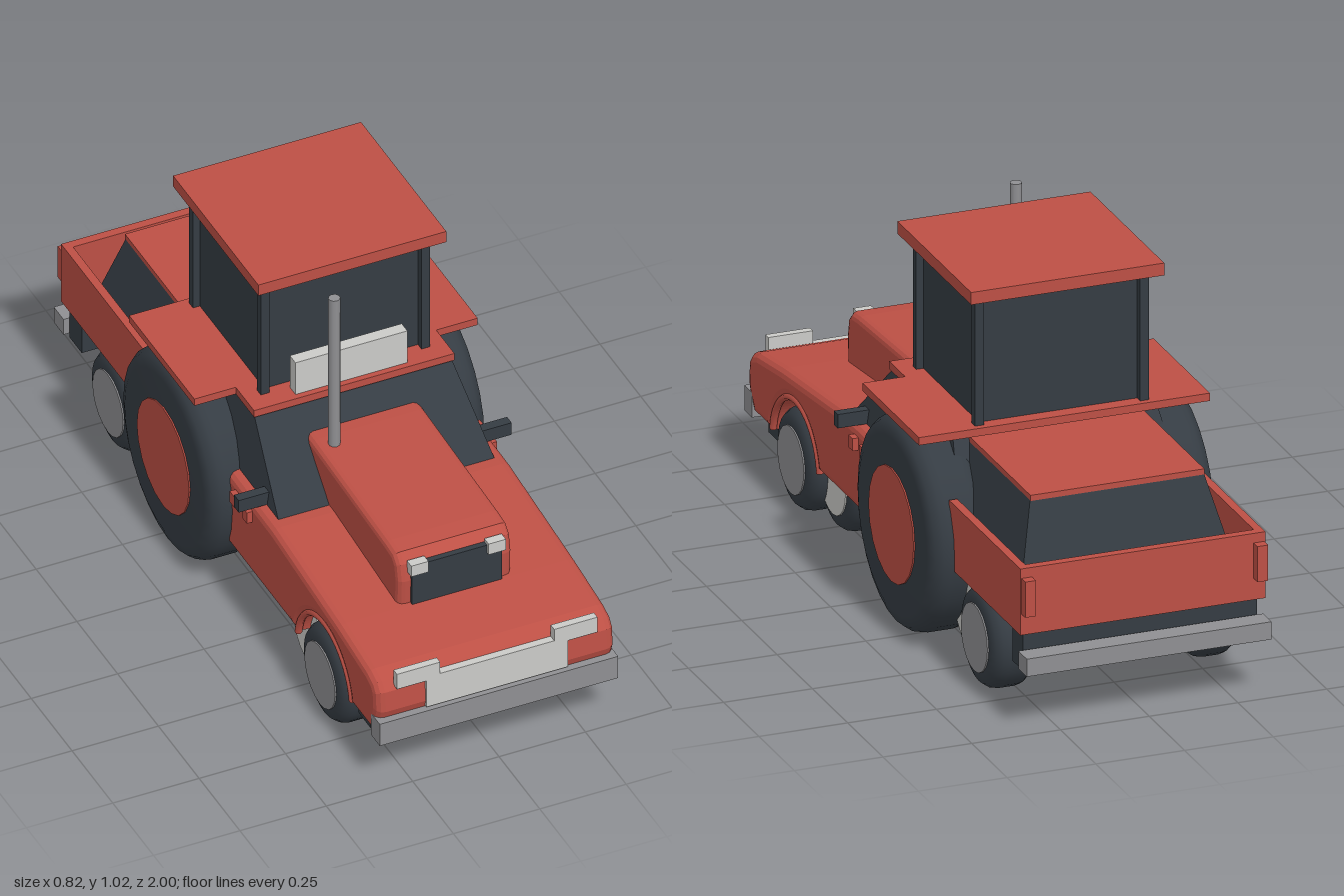
import * as THREE from 'three';

const mat = (name, color) => {
  const m = new THREE.MeshStandardMaterial({ color });
  m.name = name;
  return m;
};

export function createModel() {
  const red = mat('red paint', 0xbd5045);
  const dark = mat('dark rubber and glass', 0x353c43);
  const grey = mat('mid grey metal', 0x8f8f92);
  const light = mat('light grey trim', 0xcbcbc8);
  const model = new THREE.Group();
  model.name = 'tractor';

  const add = (name, geometry, material) => {
    const mesh = new THREE.Mesh(geometry, material);
    mesh.name = name;
    model.add(mesh);
    return mesh;
  };
  // box given by its limits on each axis
  const box = (name, material, [x0, x1], [y0, y1], [z0, z1]) =>
    add(name, new THREE.BoxGeometry(x1 - x0, y1 - y0, z1 - z0)
      .translate((x0 + x1) / 2, (y0 + y1) / 2, (z0 + z1) / 2), material);
  const pair = (name, material, [x0, x1], y, z) => {
    box(name + 'Left', material, [x0, x1], y, z);
    box(name + 'Right', material, [-x1, -x0], y, z);
  };
  // side profile drawn in (z, y), extruded across the width with rounded edges
  const sideExtrude = (shape, halfWidth, bevel) => {
    const g = new THREE.ExtrudeGeometry(shape, {
      depth: 2 * (halfWidth - bevel), bevelEnabled: bevel > 0, bevelThickness: bevel,
      bevelSize: bevel, bevelOffset: -bevel, bevelSegments: 3, curveSegments: 20,
    });
    return g.translate(0, 0, -(halfWidth - bevel)).rotateY(-Math.PI / 2);
  };
  const poly = (pts) => new THREE.Shape(pts.map(([z, y]) => new THREE.Vector2(z, y)));
  // box whose top is narrower than its bottom: [half width, back z, front z]
  const frustum = (name, material, y0, y1, bottom, top) => {
    const g = new THREE.BoxGeometry(1, 1, 1);
    const p = g.attributes.position;
    for (let i = 0; i < p.count; i++) {
      const up = p.getY(i) > 0;
      const [w, back, front] = up ? top : bottom;
      p.setXYZ(i, Math.sign(p.getX(i)) * w, up ? y1 : y0, p.getZ(i) > 0 ? front : back);
    }
    g.computeVertexNormals();
    return add(name, g, material);
  };

  // front body with open wheel arches
  const body = poly([[-0.02, 0.42], [-0.02, 0.18], [0.47, 0.18]]);
  body.absarc(0.65, 0.15, 0.165, Math.PI - 0.18, 0.12, true);
  [[0.94, 0.17], [0.975, 0.22], [0.985, 0.25], [0.98, 0.31], [0.96, 0.335], [0.92, 0.35], [0.74, 0.375],
    [0.34, 0.415]].forEach(([z, y]) => body.lineTo(z, y));
  add('frontBody', sideExtrude(body, 0.345, 0.025), red);
  box('middleBody', red, [-0.23, 0.23], [0.15, 0.42], [-0.46, 0]);
  for (const s of [-1, 1]) {
    const arch = add('archTrim', new THREE.TorusGeometry(0.168, 0.01, 6, 24, Math.PI - 0.3), red);
    arch.geometry.rotateZ(0.15).rotateY(-Math.PI / 2);
    arch.position.set(s * 0.337, 0.15, 0.65);
  }

  // hood, grille and lamps
  const hood = poly([[0.16, 0.35], [0.73, 0.35], [0.735, 0.45], [0.725, 0.5], [0.7, 0.524],
    [0.65, 0.53], [0.2, 0.552], [0.16, 0.552]]);
  add('hood', sideExtrude(hood, 0.165, 0.02), red);
  box('grille', dark, [-0.13, 0.13], [0.37, 0.5], [0.72, 0.742]);
  pair('headlamp', light, [0.087, 0.137], [0.475, 0.51], [0.725, 0.752]);

  // nose plate with raised ends
  const nose = poly([[-0.205, 0.232], [0.205, 0.232], [0.205, 0.318], [0.29, 0.318], [0.29, 0.367],
    [0.165, 0.367], [0.165, 0.33], [-0.165, 0.33], [-0.165, 0.367], [-0.29, 0.367],
    [-0.29, 0.318], [-0.205, 0.318]]);
  add('nosePlate', new THREE.ExtrudeGeometry(nose, { depth: 0.022, bevelEnabled: false })
    .translate(0, 0, 0.967), light);
  box('frontBumper', grey, [-0.345, 0.345], [0.157, 0.228], [0.945, 1]);
  box('frontLip', dark, [-0.32, 0.32], [0.133, 0.172], [0.815, 0.89]);

  // dark cowl, deck and cab
  frustum('cowl', dark, 0.4, 0.612, [0.315, -0.45, 0.325], [0.285, -0.32, 0.1]);
  const deck = new THREE.Shape([[-0.41, 0.4], [0.41, 0.4], [0.41, 0], [0.29, 0], [0.29, -0.112],
    [-0.29, -0.112], [-0.29, 0], [-0.41, 0]].map(([x, y]) => new THREE.Vector2(x, y)));
  add('deck', new THREE.ExtrudeGeometry(deck, { depth: 0.022, bevelEnabled: false })
    .rotateX(-Math.PI / 2).translate(0, 0.609, 0), red);
  box('cabGlass', dark, [-0.225, 0.225], [0.63, 0.97], [-0.36, 0.036]);
  pair('cabPostFront', dark, [0.22, 0.245], [0.63, 0.997], [0.034, 0.058]);
  pair('cabPostRear', dark, [0.22, 0.245], [0.63, 0.997], [-0.382, -0.358]);
  box('cabRoof', red, [-0.272, 0.272], [0.995, 1.03], [-0.423, 0.1]);
  box('cabFrontPanel', light, [-0.162, 0.162], [0.63, 0.735], [0.06, 0.095]);
  const pipe = add('exhaustPipe', new THREE.CylinderGeometry(0.016, 0.016, 0.5, 10), grey);
  pipe.position.set(-0.115, 0.779, 0.233);
  pair('sideLamp', dark, [0.28, 0.395], [0.418, 0.457], [0.212, 0.24]);
  for (const z of [0.13, 0.205]) pair('sideCatch', red, [0.335, 0.362], [0.357, 0.392], [z - 0.015, z + 0.015]);

  // rear bed with covered load
  box('bedFloor', red, [-0.335, 0.335], [0.275, 0.29], [-0.945, -0.45]);
  box('bedStrip', grey, [-0.32, 0.32], [0.285, 0.3], [-0.93, -0.87]);
  pair('bedSide', red, [0.322, 0.345], [0.275, 0.463], [-0.955, -0.45]);
  box('tailgate', red, [-0.322, 0.322], [0.275, 0.463], [-0.955, -0.93]);
  frustum('rearLoad', dark, 0.29, 0.572, [0.315, -0.865, -0.3], [0.245, -0.772, -0.28]);
  box('rearCover', red, [-0.245, 0.245], [0.571, 0.587], [-0.775, -0.3]);
  pair('tailLamp', red, [0.312, 0.342], [0.335, 0.436], [-0.982, -0.95]);
  box('rearFrame', dark, [-0.33, 0.33], [0.165, 0.277], [-0.935, -0.86]);
  box('rearBumper', grey, [-0.345, 0.345], [0.175, 0.225], [-1, -0.94]);
  pair('bumperBracket', dark, [0.18, 0.22], [0.185, 0.215], [-0.945, -0.93]);

  // underside
  box('rearChassis', dark, [-0.2, 0.2], [0.135, 0.277], [-0.86, -0.4]);
  box('chassis', red, [-0.19, 0.19], [0.13, 0.19], [-0.42, 0.47]);
  box('bellyBox', red, [-0.15, 0.15], [0.065, 0.135], [-0.085, 0.1]);
  box('bellyPlate', grey, [-0.167, 0.167], [0.012, 0.066], [-0.09, 0.105]);
  for (const z of [0.215, -0.215]) {
    const hoop = add('bellyHoop', new THREE.TorusGeometry(0.127, 0.006, 6, 24, Math.PI), dark);
    hoop.geometry.rotateZ(Math.PI).rotateY(Math.PI / 2);
    hoop.position.set(0, 0.143, z);
  }

  // wheels: lathed tyre with rounded shoulders and a flat hub disc
  const wheel = (name, r, hubR, x0, x1, y, z, hubMaterial) => {
    const h = (x1 - x0) / 2;
    const b = Math.min(0.045, h * 0.6);
    const half = [[0, h], [r - b * 1.1, h], [r - b * 0.4, h - b * 0.25], [r - b * 0.08, h - b * 0.7], [r, h - b * 1.1]];
    const profile = [...half.map(([a, c]) => [a, -c]), ...half.slice().reverse()]
      .map(([a, c]) => new THREE.Vector2(a, c));
    for (const s of [-1, 1]) {
      const g = new THREE.Group();
      g.name = name + (s > 0 ? 'Left' : 'Right');
      const tyre = new THREE.Mesh(new THREE.LatheGeometry(profile, 28), dark);
      tyre.name = 'tyre';
      const hub = new THREE.Mesh(new THREE.CylinderGeometry(hubR, hubR, 2 * h + 0.008, 20), hubMaterial);
      hub.name = 'hub';
      g.add(tyre, hub);
      g.rotation.z = Math.PI / 2;
      g.position.set(s * (x0 + x1) / 2, y, z);
      model.add(g);
    }
  };
  wheel('bigWheel', 0.293, 0.16, 0.235, 0.404, 0.305, -0.197, red);
  for (const [end, s] of [['front', 1], ['rear', -1]]) {
    wheel(end + 'OuterWheel', 0.14, 0.094, 0.225, 0.35, 0.152, s * 0.65, grey);
    wheel(end + 'InnerWheel', 0.14, 0.094, 0.18, 0.3, 0.152, s * 0.48, light);
  }
  return model;
}
